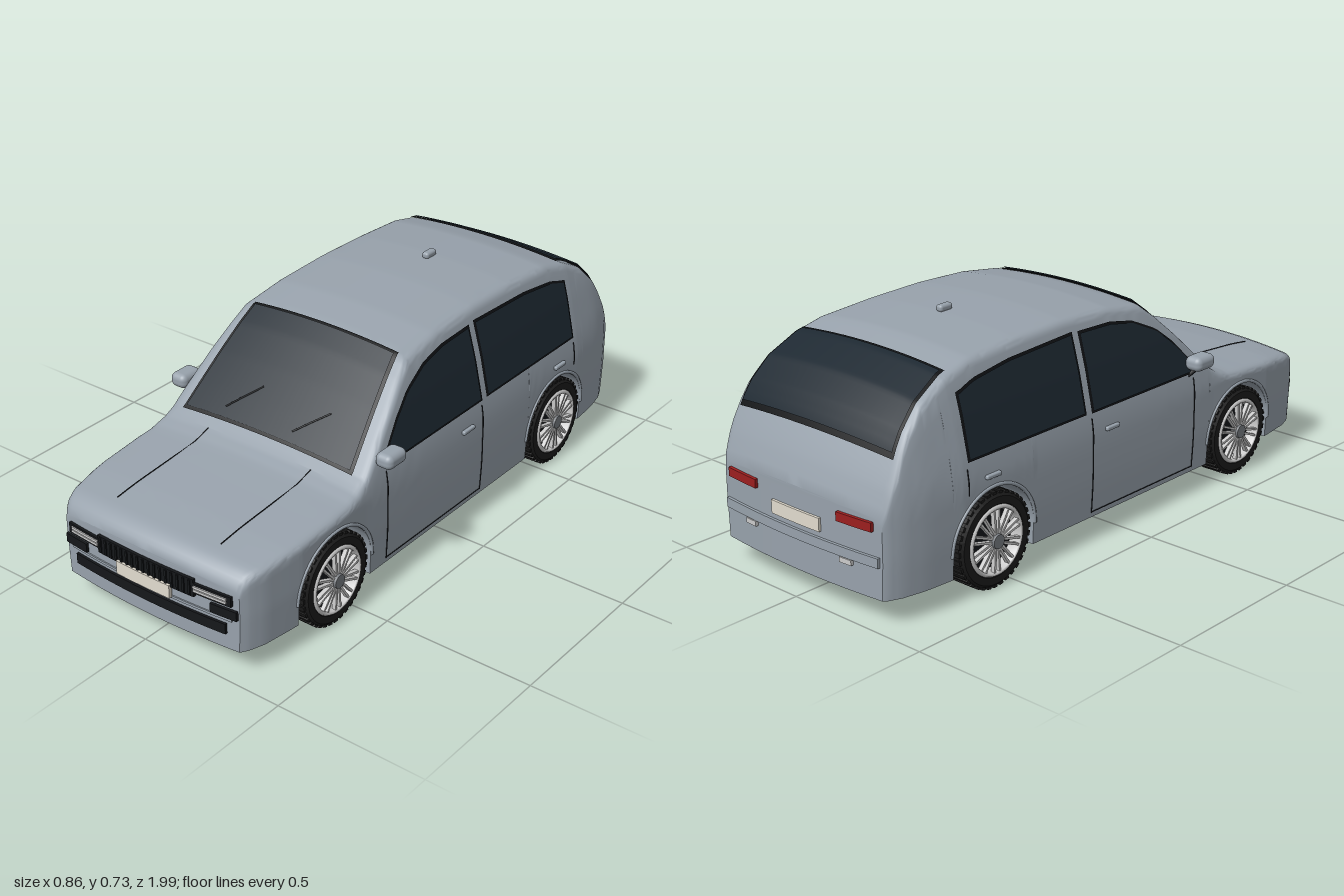
import * as THREE from 'three';
import { toCreasedNormals } from 'three/addons/utils/BufferGeometryUtils.js';
import { RoundedBoxGeometry } from 'three/addons/geometries/RoundedBoxGeometry.js';

const mat = (color, extra = {}) => new THREE.MeshStandardMaterial({ color, ...extra });
const thin = { side: THREE.DoubleSide };
const paint = mat(0x98a2ac), black = mat(0x15171a), glass = mat(0x1d2831, thin), trim = mat(0x101214, thin);
const silver = mat(0xcccccc), red = mat(0x9c1f1f), cream = mat(0xe2dccf), tyreMat = mat(0x1b1b1b, { flatShading: true });

// Piecewise curves: [position, value]
const curve = keys => v => {
  if (v <= keys[0][0]) return keys[0][1];
  for (let i = 1; i < keys.length; i++) {
    const [a, p] = keys[i - 1], [b, q] = keys[i];
    if (v <= b) return p + (q - p) * (v - a) / (b - a);
  }
  return keys.at(-1)[1];
};
const heightKeys = [[-0.985, 0.34], [-0.975, 0.37], [-0.95, 0.43], [-0.93, 0.465], [-0.9, 0.52], [-0.87, 0.562], [-0.8, 0.625],
  [-0.7, 0.676], [-0.6, 0.702], [-0.4, 0.715], [-0.2, 0.719], [0, 0.71], [0.16, 0.685], [0.22, 0.638], [0.3, 0.565], [0.38, 0.487],
  [0.44, 0.427], [0.48, 0.403], [0.54, 0.385], [0.65, 0.375], [0.8, 0.363], [0.92, 0.348], [0.95, 0.338], [0.97, 0.32], [0.98, 0.3]];
const height = curve(heightKeys);
const halfWidth = curve([[-0.985, 0.33], [-0.975, 0.34], [-0.93, 0.358], [-0.85, 0.373], [-0.7, 0.385], [0.45, 0.387], [0.6, 0.39],
  [0.75, 0.385], [0.9, 0.367], [0.955, 0.35], [0.98, 0.335]]);
const lean = curve([[0.08, 0.985], [0.2, 1], [0.35, 1], [0.42, 0.975], [0.55, 0.9], [0.68, 0.805], [0.73, 0.765]]);
const sideX = (y, z) => halfWidth(z) * lean(y);
const CROWN = 0.018, FILLET = 0.022, FLOOR = 0.08, ARCH = 0.165, AXLES = [0.595, -0.575], FRONT = 0.98, REAR = -0.985;

// Both ends curve back towards the corners in plan
const bow = (x, z) => -Math.sign(z) * THREE.MathUtils.clamp((Math.abs(z) - 0.8) / 0.18, 0, 1) * 0.025 * (x / 0.38) ** 2;
const topY = (x, z) => height(z) - CROWN * (x / sideX(height(z) - CROWN, z)) ** 2;

// Grid surface from fn(i, j) -> [x, y, z]
function sheet(ni, nj, fn) {
  const pos = [], idx = [];
  for (let i = 0; i <= ni; i++) for (let j = 0; j <= nj; j++) pos.push(...fn(i, j));
  for (let i = 0; i < ni; i++) for (let j = 0; j < nj; j++) {
    const a = i * (nj + 1) + j, b = a + 1, d = a + nj + 1, c = d + 1;
    idx.push(a, d, c, a, c, b);
  }
  const g = new THREE.BufferGeometry();
  g.setAttribute('position', new THREE.Float32BufferAttribute(pos, 3));
  g.setIndex(idx);
  g.computeVertexNormals();
  return g;
}

// Closed body outline at one z, with the wheel arches cut into its lower edge
function section(z) {
  let bottom = FLOOR;
  for (const a of AXLES) if (Math.abs(z - a) < ARCH) bottom = 0.15 + Math.sqrt(ARCH ** 2 - (z - a) ** 2);
  const shoulder = height(z) - CROWN, edge = shoulder - FILLET, xe = sideX(shoulder, z);
  const half = [[0, FLOOR], [0.27, FLOOR], [0.27, bottom]];
  for (let k = 0; k <= 12; k++) {
    const y = bottom + (edge - bottom) * k / 12;
    half.push([sideX(y, z), y]);
  }
  const p = half.at(-1), q = [xe * 0.92, topY(xe * 0.92, z)];
  for (let k = 1; k <= 5; k++) {
    const t = k / 5, f = n => (1 - t) ** 2 * p[n] + 2 * t * (1 - t) * [xe, shoulder][n] + t * t * q[n];
    half.push([f(0), f(1)]);
  }
  for (let k = 7; k >= 0; k--) half.push([q[0] * k / 8, topY(q[0] * k / 8, z)]);
  return [...half, ...half.slice(0, -1).reverse().map(([x, y]) => [-x, y])];
}

function bodyGeometry() {
  const zs = heightKeys.map(k => k[0]);
  for (let z = -0.96; z < 0.97; z += 0.03) zs.push(z);
  for (const a of AXLES) {
    for (let k = 0; k <= 20; k++) zs.push(a + (ARCH - 0.0002) * Math.cos(Math.PI * k / 20));
    zs.push(a + ARCH + 0.0002, a - ARCH - 0.0002);
  }
  zs.sort((a, b) => b - a);
  const rings = zs.map(z => [z, 1]);
  // End faces: rings that narrow to the centre line
  for (const s of [0.8, 0.6, 0.4, 0.2, 0]) { rings.unshift([FRONT, s]); rings.push([REAR, s]); }
  const pts = rings.map(([z, s]) => section(z).map(([x, y]) => [x * s, y, z + bow(x * s, z)]));
  return toCreasedNormals(sheet(pts.length - 1, pts[0].length - 1, (i, j) => pts[i][j]), 0.6);
}

// Front and rear screens lie on the upper body surface
function screen(z0, z1, x0, x1, lift) {
  return sheet(28, 16, (i, j) => {
    const t = i / 28, z = z0 + (z1 - z0) * t, x = (x0 + (x1 - x0) * t) * (j / 8 - 1);
    return [x, topY(x, z) + lift, z + bow(x, z) + lift * Math.sign(z0)];
  });
}

// Side windows follow the body side between a sill line and a top line
function sideWindow(s, z0, z1, y0, top, out) {
  return sheet(24, 10, (i, j) => {
    const z = z0 + (z1 - z0) * i / 24, y = y0 + (Math.max(top(z), y0) - y0) * j / 10;
    return [s * (sideX(y, z) + out), y, z];
  });
}

function wheel(side) {
  const g = new THREE.Group();
  g.name = 'wheel';
  const put = (name, geo, m) => { const o = new THREE.Mesh(geo, m); o.name = name; g.add(o); return o; };
  const lathe = (pts, n) => new THREE.LatheGeometry(pts.map(p => new THREE.Vector2(...p)), n).rotateZ(-Math.PI / 2);
  put('tyre', lathe([[0.104, -0.04], [0.112, -0.047], [0.135, -0.047], [0.146, -0.036], [0.147, 0], [0.146, 0.036],
    [0.135, 0.047], [0.112, 0.047], [0.104, 0.04]], 48), tyreMat);
  for (let k = 0; k < 36; k++) {
    const o = put('treadBlock', new THREE.BoxGeometry(0.082, 0.008, 0.015).translate(0, 0.1455, 0), tyreMat);
    o.rotation.x = k * Math.PI / 18;
  }
  put('rim', lathe([[0.098, -0.045], [0.106, -0.045], [0.11, 0.046], [0.106, 0.052], [0.098, 0.05], [0.094, 0.02], [0.098, -0.045]], 48), silver);
  put('brakeDisc', new THREE.CylinderGeometry(0.1, 0.1, 0.03, 32).rotateZ(Math.PI / 2), black);
  for (let k = 0; k < 10; k++) for (const s of [-1, 1]) {
    const spoke = put('spoke', new THREE.BoxGeometry(0.014, 0.084, 0.007).rotateX(s * 0.07).translate(0.043, 0.06, s * 0.008), silver);
    spoke.rotation.x = k * Math.PI / 5;
  }
  put('hub', new THREE.CylinderGeometry(0.022, 0.025, 0.025, 20).rotateZ(-Math.PI / 2).translate(0.045, 0, 0), mat(0x777b80));
  if (side < 0) g.rotation.y = Math.PI;
  return g;
}

export function createModel() {
  const car = new THREE.Group();
  car.name = 'car';
  const add = (name, geo, m) => { const o = new THREE.Mesh(geo, m); o.name = name; car.add(o); return o; };
  const line = (name, pts, r, m) => add(name, new THREE.TubeGeometry(
    new THREE.CatmullRomCurve3(pts.map(p => new THREE.Vector3(...p))), 24, r, 6), m);
  // Box bent to the plan curve of the front or rear face
  const fascia = (name, end, x, y, w, h, d, out, m) => {
    const geo = new THREE.BoxGeometry(w, h, d, 16).translate(x, y, end + Math.sign(end) * (out - d / 2));
    const p = geo.attributes.position;
    for (let i = 0; i < p.count; i++) p.setZ(i, p.getZ(i) + bow(p.getX(i), end));
    geo.computeVertexNormals();
    return add(name, geo, m);
  };

  add('body', bodyGeometry(), paint);
  add('windscreenFrame', screen(0.447, 0.152, 0.33, 0.277, 0.004), trim);
  add('windscreen', screen(0.438, 0.162, 0.319, 0.268, 0.007), glass);
  add('rearScreenFrame', screen(-0.915, -0.674, 0.32, 0.292, 0.004), trim);
  add('rearScreen', screen(-0.907, -0.682, 0.312, 0.284, 0.007), glass);

  // Front face
  fascia('grille', FRONT, 0, 0.248, 0.37, 0.058, 0.02, 0.01, black);
  for (let k = 0; k < 17; k++) fascia('grilleSlat', FRONT, (k - 8) * 0.0215, 0.248, 0.007, 0.05, 0.01, 0.014, black);
  fascia('lowerGrille', FRONT, 0, 0.149, 0.58, 0.034, 0.02, 0.008, black);
  fascia('frontPlate', FRONT, 0, 0.207, 0.205, 0.044, 0.012, 0.018, cream);
  fascia('frontBumperCrease', FRONT, 0, 0.182, 0.62, 0.008, 0.012, 0.004, paint);

  // Rear face
  fascia('rearBumper', REAR, 0, 0.195, 0.64, 0.03, 0.02, 0.009, paint);
  fascia('rearPlate', REAR, 0, 0.25, 0.2, 0.042, 0.012, 0.008, cream);

  for (const s of [1, -1]) {
    fascia('headlightFrame', FRONT, s * 0.247, 0.248, 0.132, 0.033, 0.02, 0.009, black);
    for (const y of [0.243, 0.254]) fascia('headlight', FRONT, s * 0.242, y, 0.114, 0.008, 0.012, 0.013, silver);
    fascia('fogLight', FRONT, s * 0.285, 0.205, 0.09, 0.03, 0.02, 0.009, black);
    fascia('tailLight', REAR, s * 0.235, 0.298, 0.13, 0.028, 0.02, 0.01, red);
    fascia('bumperReflector', REAR, s * 0.2, 0.17, 0.045, 0.016, 0.02, 0.01, silver);

    // Side glass with dark surrounds
    const frontTop = curve([[-0.15, 0.656], [0, 0.651], [0.1, 0.632], [0.2, 0.586], [0.27, 0.53], [0.35, 0.445]]);
    const rearTop = curve([[-0.67, 0.61], [-0.6, 0.632], [-0.45, 0.65], [-0.17, 0.66]]);
    add('frontSideWindowFrame', sideWindow(s, 0.352, -0.146, 0.416, z => frontTop(z) + 0.005, 0.003), trim);
    add('frontSideWindow', sideWindow(s, 0.343, -0.138, 0.423, z => frontTop(z) - 0.002, 0.006), glass);
    add('rearSideWindowFrame', sideWindow(s, -0.17, -0.677, 0.418, z => rearTop(z) + 0.005, 0.003), trim);
    add('rearSideWindow', sideWindow(s, -0.178, -0.669, 0.425, z => rearTop(z) - 0.002, 0.006), glass);

    // Panel seams and arch lips
    const side = (y, z, out = 0) => [s * (sideX(y, z) + out), y, z];
    for (const z of [0.35, -0.145]) line('doorSeam', [0.095, 0.2, 0.3, 0.35, 0.4].map(y => side(y, z)), 0.002, black);
    line('rearDoorSeam', [0.32, 0.35, 0.4].map(y => side(y, -0.68)), 0.002, black);
    line('sillSeam', [0.35, 0.1, -0.145].map(z => side(0.097, z)), 0.002, black);
    line('bonnetSeam', [0.48, 0.54, 0.65, 0.8, 0.88].map(z => [s * 0.2, topY(0.2, z), z]), 0.002, black);
    for (const a of AXLES) line('archLip', Array.from({ length: 13 }, (_, k) => {
      const t = Math.PI * k / 12;
      return side(0.15 + 0.171 * Math.sin(t), a + 0.171 * Math.cos(t));
    }), 0.006, paint);
    for (const [z, y] of [[-0.06, 0.353], [-0.585, 0.356]])
      add('doorHandle', new RoundedBoxGeometry(0.014, 0.014, 0.06, 2, 0.005), paint).position.set(...side(y, z, 0.004));

    // Door mirror
    line('mirrorStalk', [[s * 0.37, 0.41, 0.33], [s * 0.385, 0.428, 0.345], [s * 0.4, 0.445, 0.355]], 0.01, black);
    add('mirror', new RoundedBoxGeometry(0.062, 0.048, 0.09, 4, 0.02), paint).position.set(s * 0.4, 0.456, 0.355);

    for (const z of AXLES) {
      const w = wheel(s);
      w.position.set(s * 0.343, 0.15, z);
      car.add(w);
    }
  }

  // Wipers and roof aerial
  for (const x of [-0.175, 0.085]) line('wiper', [0, 0.5, 1].map(t => {
    const px = x + 0.095 * t, z = 0.415 - 0.068 * t;
    return [px, topY(px, z) + 0.01, z + 0.008];
  }), 0.003, black);
  add('aerial', new RoundedBoxGeometry(0.026, 0.022, 0.052, 3, 0.009), paint).position.set(0, 0.724, -0.38);

  // Axles between the wheels
  for (const z of AXLES) add('axle', new THREE.CylinderGeometry(0.02, 0.02, 0.6, 12).rotateZ(Math.PI / 2), black).position.set(0, 0.15, z);
  return car;
}
